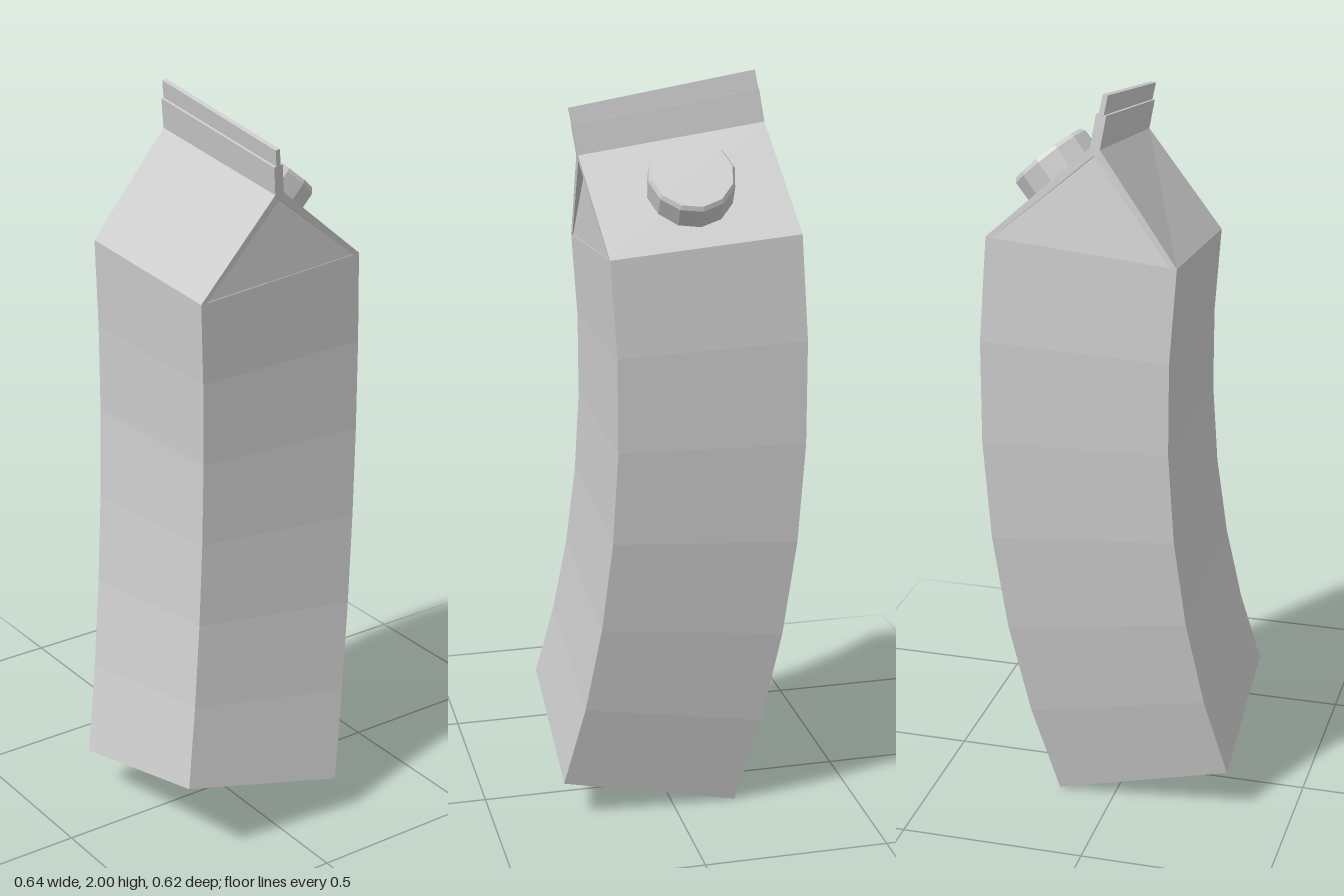
import * as THREE from 'three';
import { ConvexGeometry } from 'three/addons/geometries/ConvexGeometry.js';

const HALF = 0.248, BODY = 1.49, RIDGE = 0.25;
const LEAN = 0.345, CURVE = 0.312; // lean at the base and bend per unit of height
const DIR = new THREE.Vector3(0.75, 0, -0.66).normalize();
const AXIS = new THREE.Vector3(0, 1, 0).cross(DIR);

// Bends an upright shape along a circular arc that leans diagonally
function bend(geometry) {
  const g = geometry.index ? geometry.toNonIndexed() : geometry;
  const pos = g.attributes.position;
  const p = new THREE.Vector3();
  for (let i = 0; i < pos.count; i++) {
    p.fromBufferAttribute(pos, i);
    const a = LEAN - CURVE * p.y;
    const out = (Math.cos(a) - Math.cos(LEAN)) / CURVE;
    const up = (Math.sin(LEAN) - Math.sin(a)) / CURVE;
    p.y = 0;
    p.applyAxisAngle(AXIS, a).addScaledVector(DIR, out);
    pos.setXYZ(i, p.x - 0.076, p.y + up + 0.124, p.z + 0.061);
  }
  g.computeVertexNormals();
  return g;
}

export function createModel() {
  const group = new THREE.Group();
  const card = new THREE.MeshStandardMaterial({ color: 0xcccccc, flatShading: true });
  card.name = 'plain card';

  const add = (name, geometry) => {
    const mesh = new THREE.Mesh(bend(geometry), card);
    mesh.name = name;
    group.add(mesh);
  };

  // Square body in six bent bands
  add('body', new THREE.BoxGeometry(2 * HALF, BODY, 2 * HALF, 1, 6, 1).translate(0, BODY / 2, 0));

  // Two sloping roof panels as one folded sheet
  const sheet = new THREE.Shape([
    [-HALF, 0], [-0.23, 0], [0, RIDGE - 0.018], [0.23, 0], [HALF, 0], [0.012, RIDGE], [-0.012, RIDGE],
  ].map(([x, y]) => new THREE.Vector2(x, y)));
  add('roof', new THREE.ExtrudeGeometry(sheet, { depth: 2 * HALF, bevelEnabled: false })
    .translate(0, BODY, -HALF));

  // Gable ends, folded slightly inwards under the roof
  const corners = [];
  for (const s of [-1, 1]) {
    corners.push(
      new THREE.Vector3(-0.236, BODY, s * (HALF - 0.002)),
      new THREE.Vector3(0.236, BODY, s * (HALF - 0.002)),
      new THREE.Vector3(0, BODY + RIDGE - 0.012, s * (HALF - 0.022)),
    );
  }
  add('gableEnds', new ConvexGeometry(corners));

  // Sealed top fin: thick lower strip and thin upper strip
  const fin = (name, width, from, to) => add(name,
    new THREE.BoxGeometry(width, to - from, 2 * HALF).translate(0, BODY + (from + to) / 2, 0));
  fin('lowerFin', 0.026, RIDGE - 0.01, 0.33);
  fin('upperFin', 0.013, 0.33, 0.377);

  // Screw cap on the right-hand slope, with a small bevelled rim
  const profile = [[0, -0.01], [0.112, -0.01], [0.112, 0.06], [0.105, 0.07], [0, 0.07]]
    .map(([r, y]) => new THREE.Vector2(r, y));
  add('cap', new THREE.LatheGeometry(profile, 12)
    .rotateZ(-Math.atan2(RIDGE, HALF - 0.012))
    .translate(0.13, BODY + RIDGE / 2, 0));

  return group;
}
